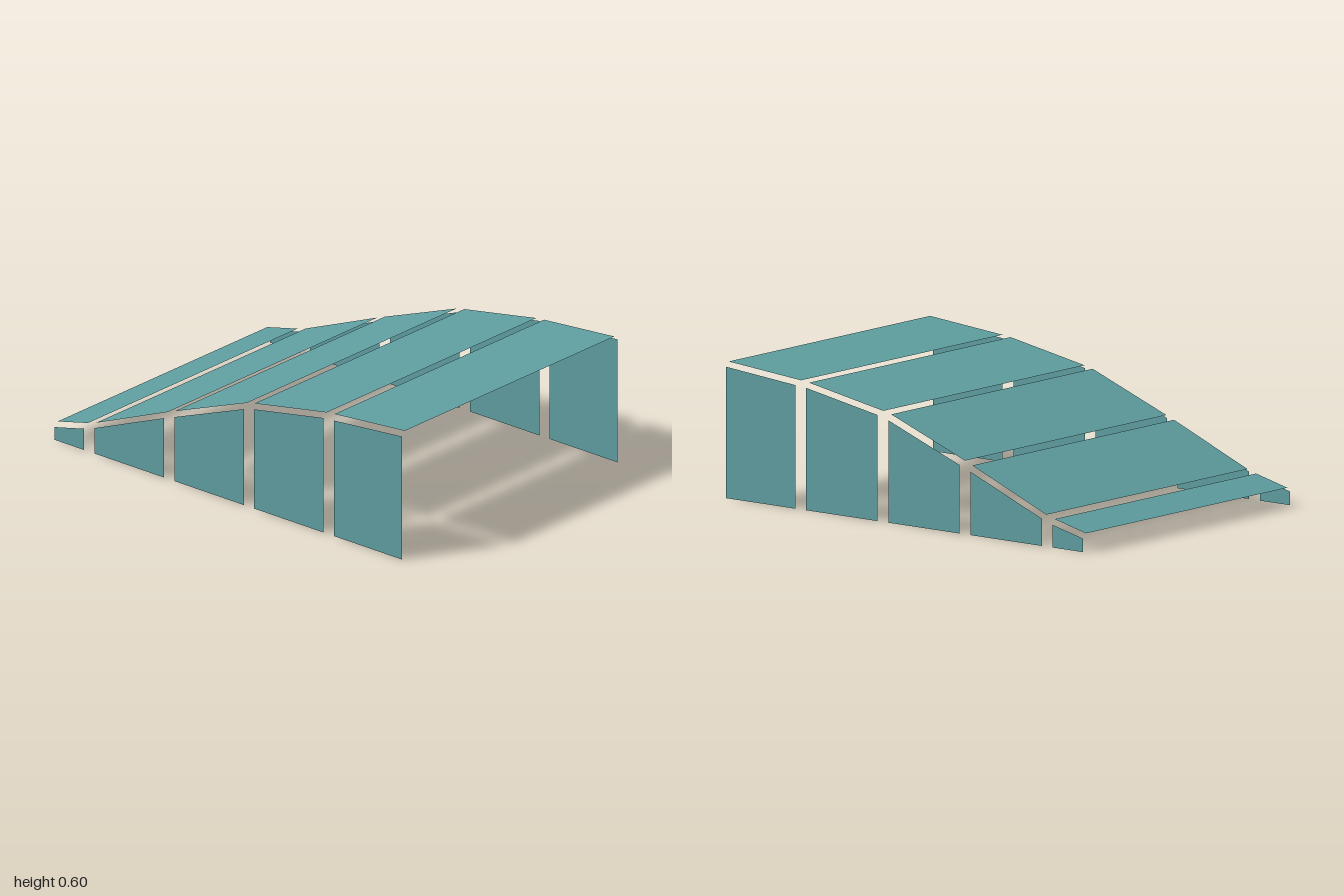
import * as THREE from 'three';

const WALL_X = 0.71;
const ROOF_HALF_WIDTH = 0.69;

// Each bay: front and back edges as [z, y], for the roof sheet and for the top of the walls
const BAYS = [
  { roof: [[1, 0.6], [0.595, 0.565]], wall: [[1, 0.58], [0.61, 0.545]] },
  { roof: [[0.55, 0.56], [0.135, 0.485]], wall: [[0.55, 0.54], [0.15, 0.468]] },
  { roof: [[0.09, 0.475], [-0.323, 0.32]], wall: [[0.09, 0.452], [-0.31, 0.302]] },
  { roof: [[-0.365, 0.304], [-0.778, 0.136]], wall: [[-0.37, 0.28], [-0.77, 0.12]] },
  { roof: [[-0.825, 0.122], [-1, 0.08]], wall: [[-0.83, 0.1], [-1, 0.06]] },
];

// Flat four-cornered sheet, corners anticlockwise as seen from its outer face
function sheet(name, corners, material) {
  const geometry = new THREE.BufferGeometry();
  geometry.setAttribute('position', new THREE.Float32BufferAttribute(corners.flat(), 3));
  geometry.setIndex([0, 1, 2, 0, 2, 3]);
  geometry.computeVertexNormals();
  const mesh = new THREE.Mesh(geometry, material);
  mesh.name = name;
  return mesh;
}

export function createModel() {
  const model = new THREE.Group();
  model.name = 'panelledCanopy';
  const teal = new THREE.MeshStandardMaterial({ color: 0x5f9ea0, side: THREE.DoubleSide });
  teal.name = 'dustyTeal';

  BAYS.forEach(({ roof, wall }, i) => {
    const bay = new THREE.Group();
    bay.name = `bay${i + 1}`;

    // Sloping roof sheet
    const [[zf, yf], [zb, yb]] = roof;
    const w = ROOF_HALF_WIDTH;
    bay.add(sheet('roofPanel', [[-w, yf, zf], [w, yf, zf], [w, yb, zb], [-w, yb, zb]], teal));

    // Mirrored side walls, reaching the ground
    const [[wf, hf], [wb, hb]] = wall;
    for (const side of [1, -1]) {
      const x = side * WALL_X;
      const corners = [[x, 0, wf], [x, 0, wb], [x, hb, wb], [x, hf, wf]];
      if (side < 0) corners.reverse();
      bay.add(sheet(side > 0 ? 'leftWall' : 'rightWall', corners, teal));
    }
    model.add(bay);
  });
  return model;
}
